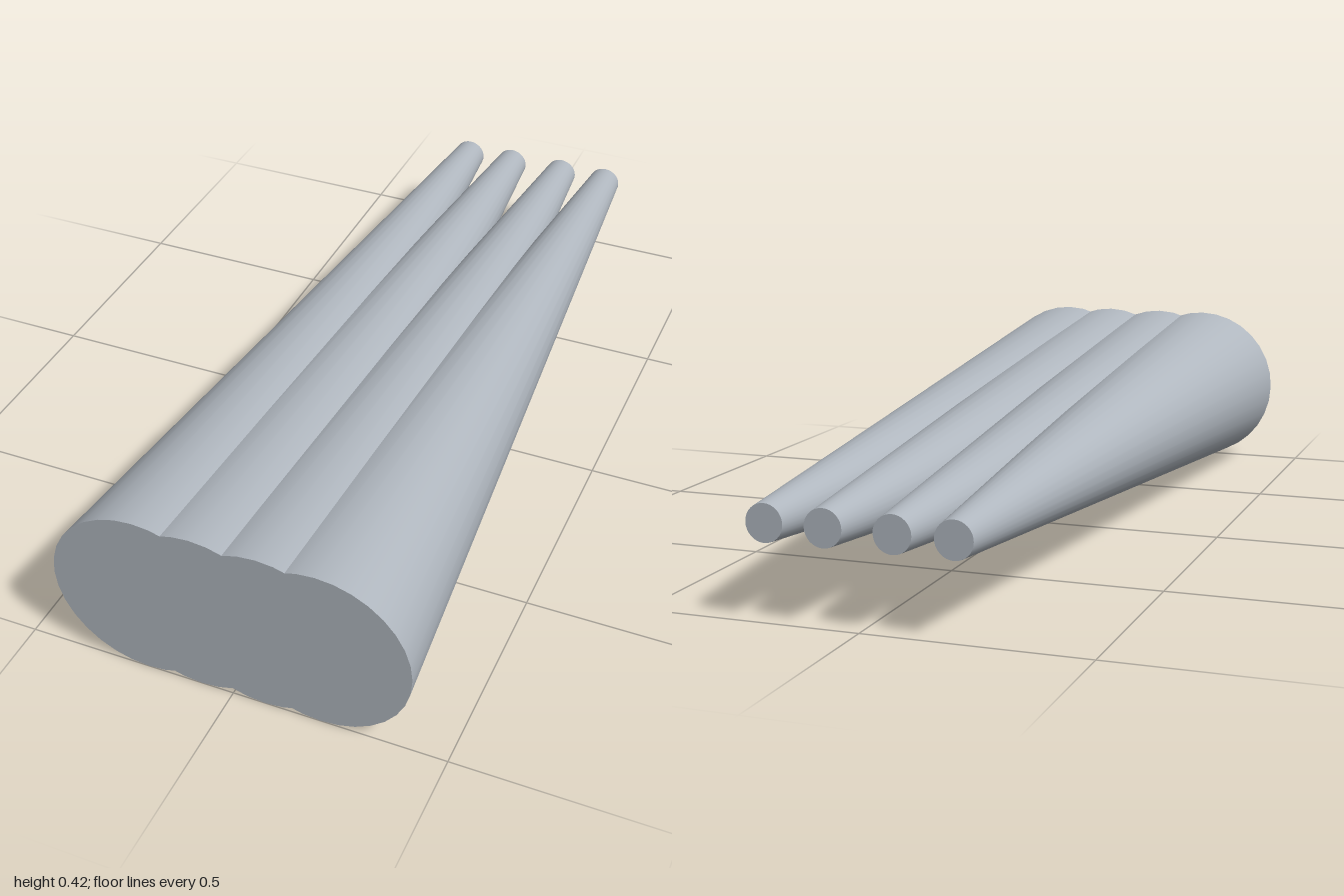
import * as THREE from 'three';

export function createModel() {
  const group = new THREE.Group();
  group.name = 'taperedTubes';
  const steel = new THREE.MeshStandardMaterial({ color: 0xb0b7bf });
  steel.name = 'steelGrey';

  // four overlapping tapered rods, wide at the front, slim at the back
  const frontRadius = 0.212, backRadius = 0.042;
  const taper = new THREE.CylinderGeometry(frontRadius, backRadius, 2, 32);
  taper.rotateX(Math.PI / 2);

  for (const side of [1, -1]) {
    for (const [part, x] of [['Outer', 0.208], ['Inner', 0.076]]) {
      const rod = new THREE.Mesh(taper, steel);
      rod.name = (side > 0 ? 'left' : 'right') + part + 'Rod';
      rod.position.set(side * x, frontRadius, 0);
      group.add(rod);
    }
  }
  return group;
}
